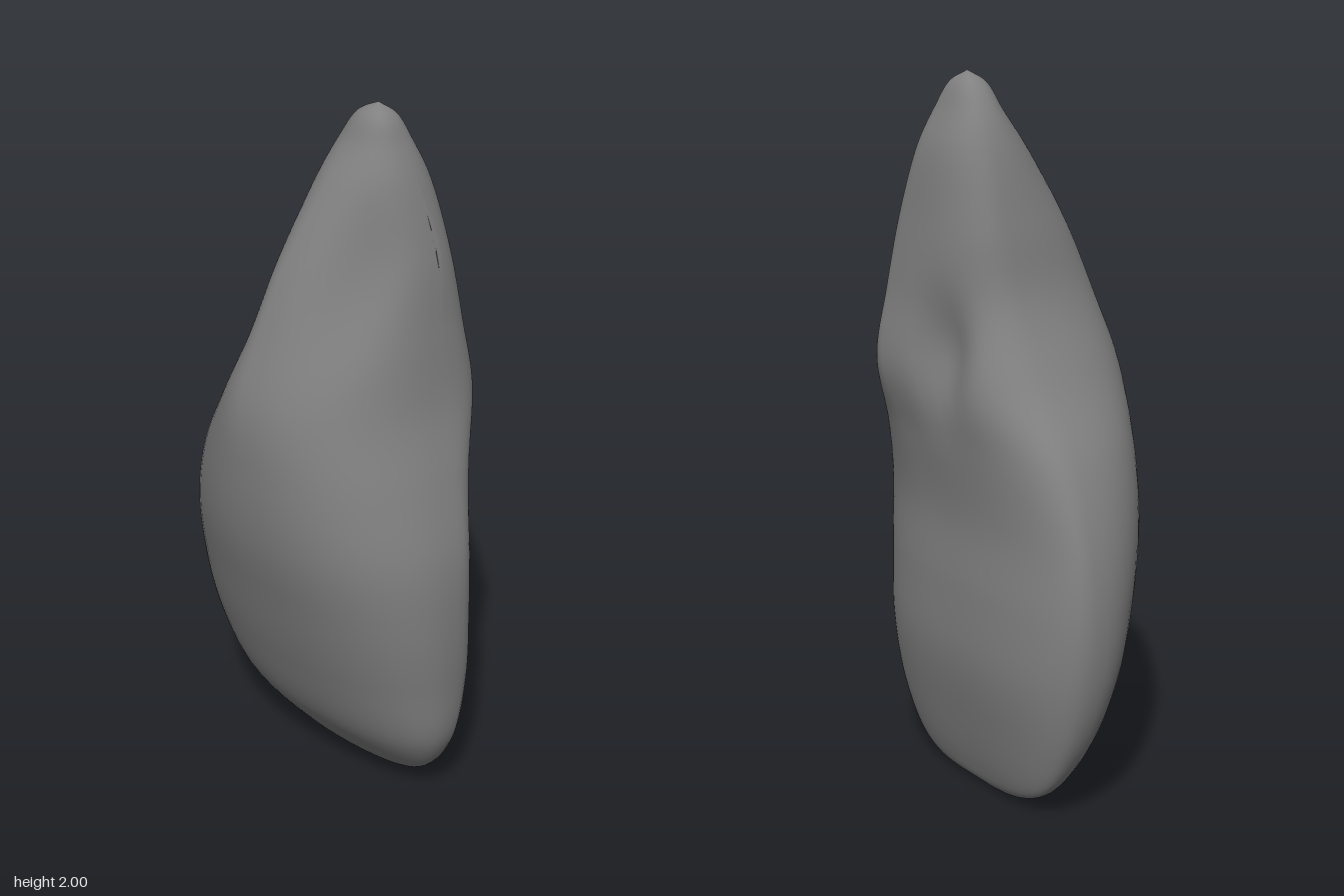
import * as THREE from 'three';

// Cross-sections from foot to tip:
// y, left edge x z, front ridge x z, right edge x z, back ridge x z
const sections = [
  [0.00, 0.02, -0.12, 0.02, -0.12, 0.02, -0.12, 0.02, -0.12],
  [0.02, -0.19, -0.12, 0.02, -0.07, 0.23, -0.12, 0.02, -0.15],
  [0.07, -0.30, -0.11, 0.02, -0.02, 0.34, -0.10, 0.00, -0.17],
  [0.20, -0.39, -0.09, 0.02, 0.08, 0.43, -0.08, -0.01, -0.20],
  [0.40, -0.455, -0.07, 0.02, 0.16, 0.46, -0.08, -0.02, -0.23],
  [0.60, -0.47, -0.07, 0.02, 0.22, 0.47, -0.07, 0.01, -0.225],
  [0.80, -0.44, -0.07, 0.01, 0.27, 0.46, -0.08, 0.10, -0.21],
  [1.00, -0.36, -0.06, 0.00, 0.29, 0.41, -0.10, 0.22, -0.235],
  [1.20, -0.22, -0.04, -0.01, 0.285, 0.35, -0.13, 0.26, -0.285],
  [1.40, -0.115, -0.06, 0.00, 0.225, 0.32, -0.13, 0.25, -0.26],
  [1.60, -0.075, -0.09, 0.03, 0.15, 0.295, -0.12, 0.21, -0.235],
  [1.80, -0.03, -0.09, 0.08, 0.05, 0.245, -0.10, 0.15, -0.205],
  [1.90, 0.01, -0.09, 0.11, -0.01, 0.205, -0.10, 0.13, -0.165],
  [1.97, 0.06, -0.09, 0.12, -0.045, 0.17, -0.09, 0.12, -0.13],
  [2.00, 0.12, -0.09, 0.12, -0.09, 0.12, -0.09, 0.12, -0.09],
];
const QUARTER = 16, RING = QUARTER * 4, ROWS = 112;

// Roundness of the quarters: front left, front right, back right, back left
const powers = [0.93, 0.88, 0.74, 0.84];

// Point on a ring made of four elliptical quarters between edges and ridges
function ringPoint([y, lx, lz, fx, fz, rx, rz, bx, bz], j) {
  const q = Math.floor(j / QUARTER);
  const a = ((j % QUARTER) / QUARTER) * Math.PI / 2;
  const edge = q === 1 || q === 2 ? [rx, rz] : [lx, lz];
  const ridge = q < 2 ? [fx, fz] : [bx, bz];
  const t = q % 2 === 0 ? a : Math.PI / 2 - a;
  const c = Math.max(0, Math.cos(t)) ** powers[q];
  const s = Math.max(0, Math.sin(t)) ** powers[q];
  return new THREE.Vector3(
    ridge[0] + (edge[0] - ridge[0]) * c, y,
    edge[1] + (ridge[1] - edge[1]) * s);
}

// Soft bell-shaped hollow
const hollow = (p, x, y, rx, ry) =>
  Math.exp(-(((p.x - x) / rx) ** 2) - ((p.y - y) / ry) ** 2);

function stoneGeometry() {
  const columns = [];
  for (let j = 0; j < RING; j++) {
    columns.push(new THREE.CatmullRomCurve3(sections.map(s => ringPoint(s, j))));
  }
  const positions = [], index = [];
  for (let i = 0; i <= ROWS; i++) {
    for (let j = 0; j < RING; j++) {
      const p = columns[j].getPoint(i / ROWS);
      // hollows beside the back ridge and the front ridge of the neck
      if (j > QUARTER * 2) p.z += 0.07 * hollow(p, 0.04, 1.24, 0.1, 0.15);
      else p.z -= 0.06 * hollow(p, 0.23, 1.58, 0.09, 0.2);
      positions.push(p.x, p.y, p.z);
      if (i === ROWS) continue;
      const k = (j + 1) % RING;
      const a = i * RING + j, b = i * RING + k, c = a + RING, d = b + RING;
      // the first and last rows close to a point
      if (i > 0) index.push(a, b, d);
      if (i < ROWS - 1) index.push(a, d, c);
    }
  }
  // single shared end points so the tip and foot stay smooth
  for (const [start, end] of [[0, RING], [ROWS * RING, (ROWS + 1) * RING]]) {
    for (let n = 0; n < index.length; n++) {
      if (index[n] >= start && index[n] < end) index[n] = start;
    }
  }
  const geometry = new THREE.BufferGeometry();
  geometry.setAttribute('position', new THREE.Float32BufferAttribute(positions, 3));
  geometry.setIndex(index);
  geometry.computeVertexNormals();
  return geometry;
}

export function createModel() {
  const group = new THREE.Group();
  group.name = 'stone';
  const body = new THREE.Mesh(stoneGeometry(), new THREE.MeshStandardMaterial({ color: 0x808080 }));
  body.name = 'stoneBody';
  group.add(body);
  return group;
}
